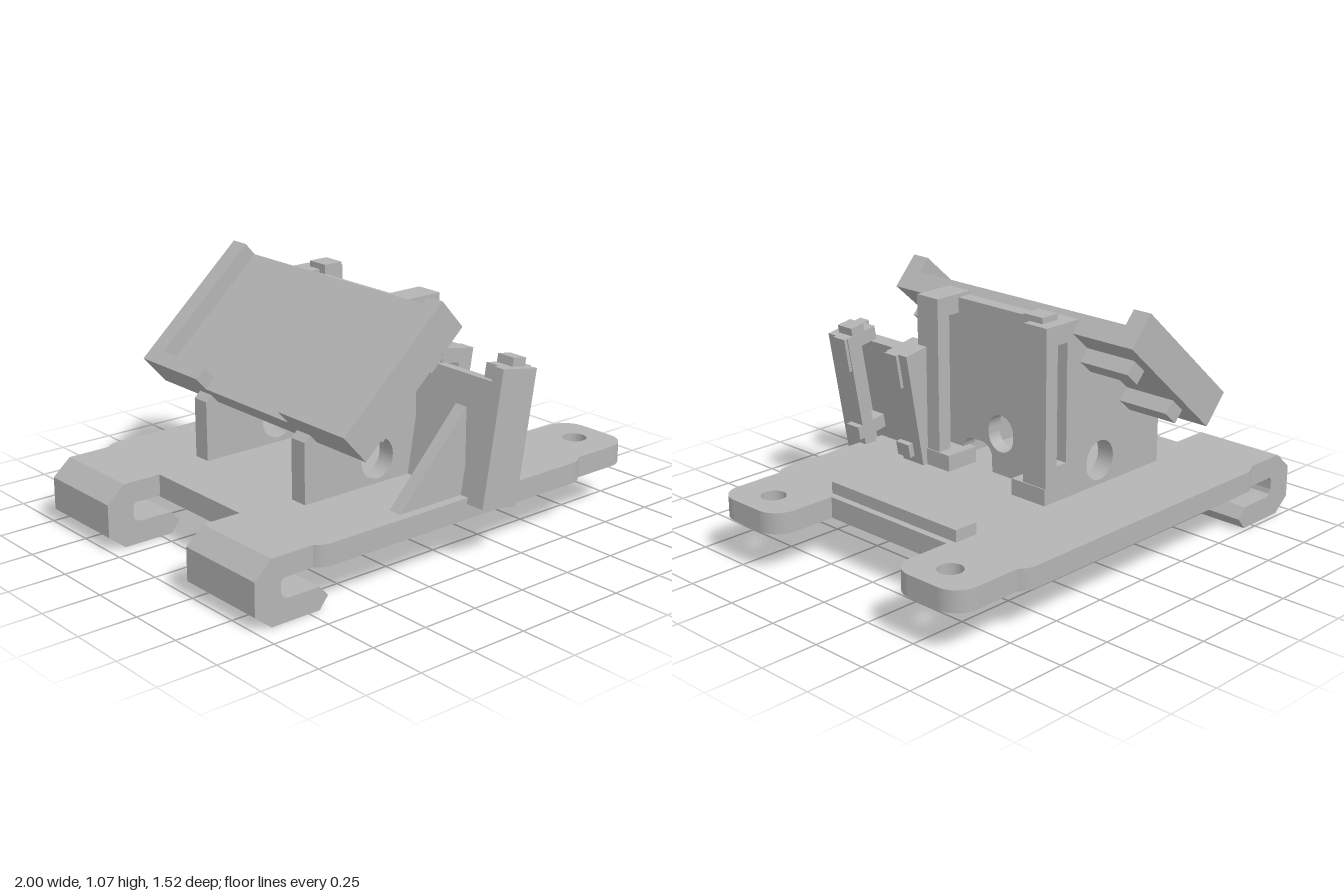
import * as THREE from 'three';

const gray = new THREE.MeshStandardMaterial({ color: 0xb4b4b4 });
gray.name = 'matte gray';

function add(parent, name, geometry) {
  const mesh = new THREE.Mesh(geometry, gray);
  mesh.name = name;
  parent.add(mesh);
  return mesh;
}

// Box given by its minimum and maximum on each axis
function box(parent, name, x0, x1, y0, y1, z0, z1) {
  const g = new THREE.BoxGeometry(x1 - x0, y1 - y0, z1 - z0);
  g.translate((x0 + x1) / 2, (y0 + y1) / 2, (z0 + z1) / 2);
  return add(parent, name, g);
}

const shapeOf = (pts) => new THREE.Shape(pts.map(([x, y]) => new THREE.Vector2(x, y)));

const extrude = (shape, depth) =>
  new THREE.ExtrudeGeometry(shape, { depth, bevelEnabled: false, curveSegments: 16 });

// Upright slot with round ends
function slot(cx, y0, y1, r) {
  const p = new THREE.Path();
  p.absarc(cx, y1 - r, r, 0, Math.PI, false);
  p.absarc(cx, y0 + r, r, Math.PI, Math.PI * 2, false);
  p.closePath();
  return p;
}

function basePlate(root) {
  const r = 0.1;
  const s = new THREE.Shape();
  s.moveTo(-0.92, -0.73);
  s.lineTo(-0.73, -0.73);
  s.quadraticCurveTo(-0.7, -0.76, -0.66, -0.76);
  s.lineTo(0.62, -0.76);
  s.quadraticCurveTo(0.66, -0.76, 0.69, -0.73);
  s.lineTo(1 - r, -0.73);
  s.absarc(1 - r, -0.73 + r, r, -Math.PI / 2, 0, false);
  s.absarc(1 - r, -0.38 - r, r, 0, Math.PI / 2, false);
  s.lineTo(0.71, -0.38);
  s.lineTo(0.71, 0.28);
  s.lineTo(1 - r, 0.28);
  s.absarc(1 - r, 0.28 + r, r, -Math.PI / 2, 0, false);
  s.absarc(1 - r, 0.64 - r, r, 0, Math.PI / 2, false);
  s.lineTo(0.69, 0.64);
  s.quadraticCurveTo(0.66, 0.67, 0.62, 0.67);
  s.lineTo(-0.66, 0.67);
  s.quadraticCurveTo(-0.7, 0.67, -0.73, 0.64);
  s.lineTo(-0.75, 0.64);
  s.lineTo(-0.75, -0.32);
  s.lineTo(-0.75, -0.73);
  s.lineTo(-0.73, -0.73);
  // Start the outline at the main body; the hooks carry the rest
  const body = new THREE.Shape(s.getPoints(10).slice(1, -1));
  for (const z of [-0.555, 0.46]) {
    const hole = new THREE.Path();
    hole.absarc(0.86, z, 0.052, 0, Math.PI * 2, true);
    body.holes.push(hole);
  }
  add(root, 'basePlate', extrude(body, 0.09).rotateX(Math.PI / 2).translate(0, 0.27, 0));
  box(root, 'baseRail', 0.57, 0.68, 0.27, 0.32, -0.4, 0.31);
}

function hooks(root) {
  const s = shapeOf([
    [-0.75, 0.27], [-0.92, 0.27], [-1, 0.2], [-1, 0.06], [-0.925, 0], [-0.7, 0],
    [-0.66, 0.05], [-0.7, 0.095], [-0.85, 0.095], [-0.873, 0.105], [-0.88, 0.125],
    [-0.88, 0.165], [-0.87, 0.18], [-0.75, 0.18],
  ]);
  for (const [z0, z1] of [[-0.73, -0.32], [0.22, 0.64]])
    add(root, 'hook', extrude(s, z1 - z0).translate(0, 0, z0));
}

function centreBracket(root) {
  const g = new THREE.Group();
  g.name = 'centreBracket';
  root.add(g);

  // Side walls with sloping tops
  for (const z of [-0.4, 0.24]) {
    const wall = shapeOf([[-0.51, 0.26], [0.02, 0.26], [0.02, 0.98], [0, 0.98], [-0.51, 0.525]]);
    wall.holes.push(slot(-0.14, 0.29, 0.46, 0.082));
    add(g, 'sideWall', extrude(wall, 0.08).translate(0, 0, z));
  }

  // Upright panel with a slot and an arched opening at its foot
  const panel = new THREE.Shape();
  panel.moveTo(-0.4, 0.26);
  panel.lineTo(0.01, 0.26);
  panel.lineTo(0.01, 0.33);
  panel.absarc(0.07, 0.33, 0.06, Math.PI, Math.PI / 2, true);
  panel.absarc(0.12, 0.33, 0.06, Math.PI / 2, 0, true);
  panel.lineTo(0.18, 0.26);
  panel.lineTo(0.32, 0.26);
  panel.lineTo(0.32, 0.985);
  panel.lineTo(-0.4, 0.985);
  panel.holes.push(slot(-0.04, 0.37, 0.53, 0.07));
  add(g, 'uprightPanel', extrude(panel, 0.065).rotateY(-Math.PI / 2).translate(0.065, 0, 0));

  // Retaining posts, mirrored about the panel's middle
  const mid = -0.04;
  for (const side of [-1, 1]) {
    const part = (name, x0, x1, y0, y1, d0, d1) => {
      const a = mid + side * d0, b = mid + side * d1;
      box(g, name, x0, x1, y0, y1, Math.min(a, b), Math.max(a, b));
    };
    part('post', 0.12, 0.185, 0.3, 0.95, 0.24, 0.36);
    part('postCap', 0, 0.185, 0.92, 1, 0.24, 0.36);
    part('postFoot', 0.03, 0.185, 0.26, 0.42, 0.315, 0.36);
    part('footBlock', 0.03, 0.19, 0.26, 0.34, 0.18, 0.36);
  }
  box(g, 'capNub', 0.06, 0.15, 0.96, 1.025, -0.345, -0.245);
}

function slantedTray(root) {
  const g = new THREE.Group();
  g.name = 'slantedTray';
  g.position.set(-0.45, 0.515, 0);
  g.rotation.z = 0.731;
  root.add(g);
  box(g, 'trayFloor', 0, 0.65, 0, 0.09, -0.7, 0.61);
  for (const [z0, z1] of [[-0.7, -0.615], [0.525, 0.61]])
    box(g, 'trayRim', 0, 0.65, 0.09, 0.16, z0, z1);
  for (const [z0, z1] of [[-0.615, -0.32], [0.22, 0.525]])
    box(g, 'trayLip', 0, 0.06, 0.09, 0.16, z0, z1);
  for (const u of [0.118, 0.45])
    box(g, 'trayBar', u, u + 0.082, -0.063, 0, -0.64, 0.555);
}

function tiltedHolder(root) {
  const g = new THREE.Group();
  g.name = 'tiltedHolder';
  g.position.set(0.02, 0.245, 0);
  g.rotation.z = -0.171;
  root.add(g);
  box(g, 'holderPanel', 0, 0.06, 0, 0.5, 0.27, 0.755);

  // Channel rails on both sides of the panel
  const mid = 0.513;
  for (const side of [-1, 1]) {
    const part = (name, x0, x1, y0, y1, d0, d1) => {
      const a = mid + side * d0, b = mid + side * d1;
      box(g, name, x0, x1, y0, y1, Math.min(a, b), Math.max(a, b));
    };
    part('railSide', 0, 0.185, 0, 0.56, 0.19, 0.243);
    part('railLip', 0.125, 0.185, 0.04, 0.56, 0.12, 0.19);
    part('railCap', 0.03, 0.185, 0.5, 0.56, 0.12, 0.19);
    part('railClip', 0.185, 0.2, 0.41, 0.56, 0.125, 0.195);
    part('railFoot', 0.04, 0.21, 0.09, 0.15, 0.12, 0.195);
  }
  box(g, 'railNub', 0.085, 0.155, 0.55, 0.595, 0.635, 0.72);

  // Triangular brace behind the holder
  const brace = shapeOf([[-0.3, 0.265], [0.045, 0.265], [0.045, 0.63]]);
  add(root, 'brace', extrude(brace, 0.06).translate(0, 0, 0.57));
}

export function createModel() {
  const root = new THREE.Group();
  root.name = 'mountingBracket';
  basePlate(root);
  hooks(root);
  centreBracket(root);
  slantedTray(root);
  tiltedHolder(root);
  return root;
}
